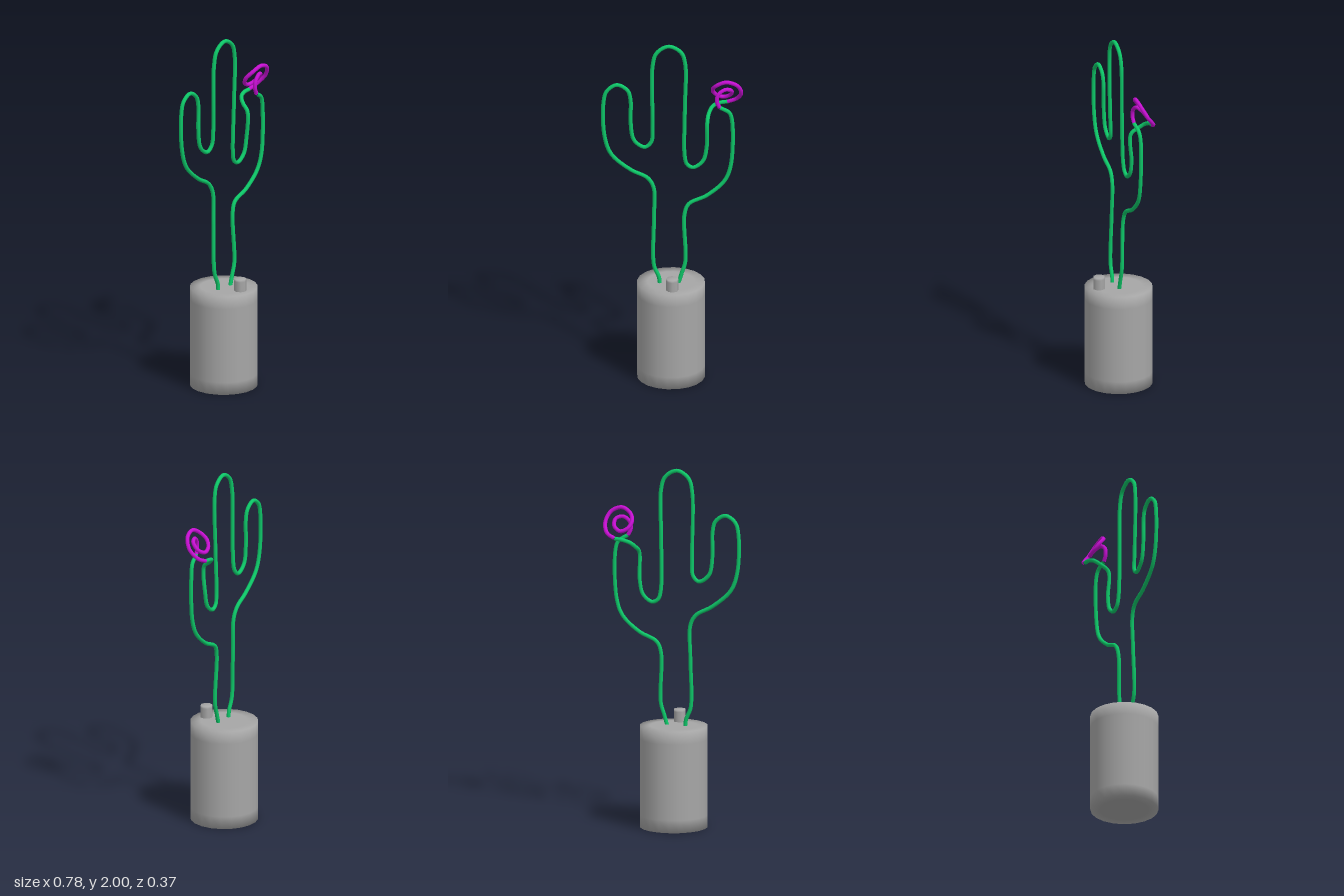
import * as THREE from 'three';

const WIRE = 0.0112;

export function createModel() {
  const root = new THREE.Group();
  root.name = 'cactusLamp';

  const grey = new THREE.MeshStandardMaterial({ name: 'grey', color: 0xa6a6a6 });
  const green = new THREE.MeshStandardMaterial({ name: 'green', color: 0x0dc768 });
  const magenta = new THREE.MeshStandardMaterial({ name: 'magenta', color: 0xc60fd2 });

  const add = (name, geometry, material) => {
    const mesh = new THREE.Mesh(geometry, material);
    mesh.name = name;
    root.add(mesh);
    return mesh;
  };
  const lathe = (profile, sides, start) => new THREE.LatheGeometry(
    profile.map(([r, y]) => new THREE.Vector2(r, y)), sides, start);
  const tube = (points, segments) => new THREE.TubeGeometry(
    new THREE.CatmullRomCurve3(points.map((p) => new THREE.Vector3(...p)), false, 'centripetal'),
    segments, WIRE, 8);

  // Drum-shaped base, softly shaded towards both rims
  const R = 0.187;
  add('base', lathe([
    [0, 0], [0.13, 0], [R, 0], [R, 0.07], [R, 0.495], [R, 0.566], [0.13, 0.566], [0, 0.566],
  ], 20, Math.PI / 20), grey).position.x = -0.008;

  // Switch button on top of the base
  add('button', lathe([
    [0.034, 0.55], [0.034, 0.622], [0.033, 0.635], [0, 0.635],
  ], 8, 0), grey).position.set(-0.007, 0, 0.115);

  // Long wire: left foot, left arm, trunk, then the inner side of the right arm
  add('cactusWire', tube([
    [-0.07, 0.55, 0.012], [-0.075, 0.6, 0.012], [-0.102, 0.67, 0.011],
    [-0.102, 0.95, 0.004], [-0.103, 1.13, 0], [-0.135, 1.19, -0.002],
    [-0.23, 1.245, 0.001], [-0.335, 1.34, 0.002], [-0.373, 1.45, 0.002],
    [-0.378, 1.66, 0.002], [-0.36, 1.722, 0.002], [-0.305, 1.757, 0.002],
    [-0.247, 1.722, 0.002], [-0.23, 1.66, 0.002], [-0.23, 1.53, 0.001],
    [-0.21, 1.42, 0], [-0.152, 1.379, 0.001], [-0.117, 1.41, 0.004],
    [-0.11, 1.5, 0.009], [-0.11, 1.87, 0.014], [-0.088, 1.95, 0.016],
    [-0.023, 1.989, 0.017], [0.045, 1.952, 0.016], [0.069, 1.88, 0.014],
    [0.067, 1.6, 0.01], [0.067, 1.32, 0.003], [0.081, 1.268, 0],
    [0.115, 1.25, -0.001], [0.167, 1.288, -0.001], [0.187, 1.367, 0],
    [0.191, 1.525, 0.005], [0.202, 1.56, -0.035], [0.225, 1.588, -0.066],
    [0.262, 1.602, -0.077], [0.306, 1.607, -0.078],
  ], 300), green);

  // Short wire: right foot and the outer side of the right arm
  add('rightArmWire', tube([
    [0.03, 0.55, 0.012], [0.05, 0.62, 0.012], [0.07, 0.69, 0.011],
    [0.066, 0.97, 0.002], [0.09, 1.03, -0.002], [0.19, 1.08, -0.002],
    [0.285, 1.165, -0.002], [0.32, 1.26, 0], [0.327, 1.525, 0],
    [0.311, 1.578, 0.004], [0.28, 1.6, 0.009], [0.258, 1.613, 0.013],
  ], 130), green);

  // Flower: a tilted spiral joining the two wires
  add('flower', tube([
    [0.306, 1.607, -0.078], [0.355, 1.632, -0.062], [0.378, 1.685, -0.02],
    [0.353, 1.742, 0.009], [0.294, 1.765, 0.016], [0.24, 1.738, 0],
    [0.222, 1.7, -0.032], [0.24, 1.664, -0.054], [0.282, 1.646, -0.058],
    [0.322, 1.67, -0.036], [0.322, 1.705, -0.009], [0.285, 1.716, 0.008],
    [0.25, 1.69, 0.015], [0.243, 1.65, 0.016], [0.258, 1.613, 0.013],
  ], 140), magenta);

  return root;
}
